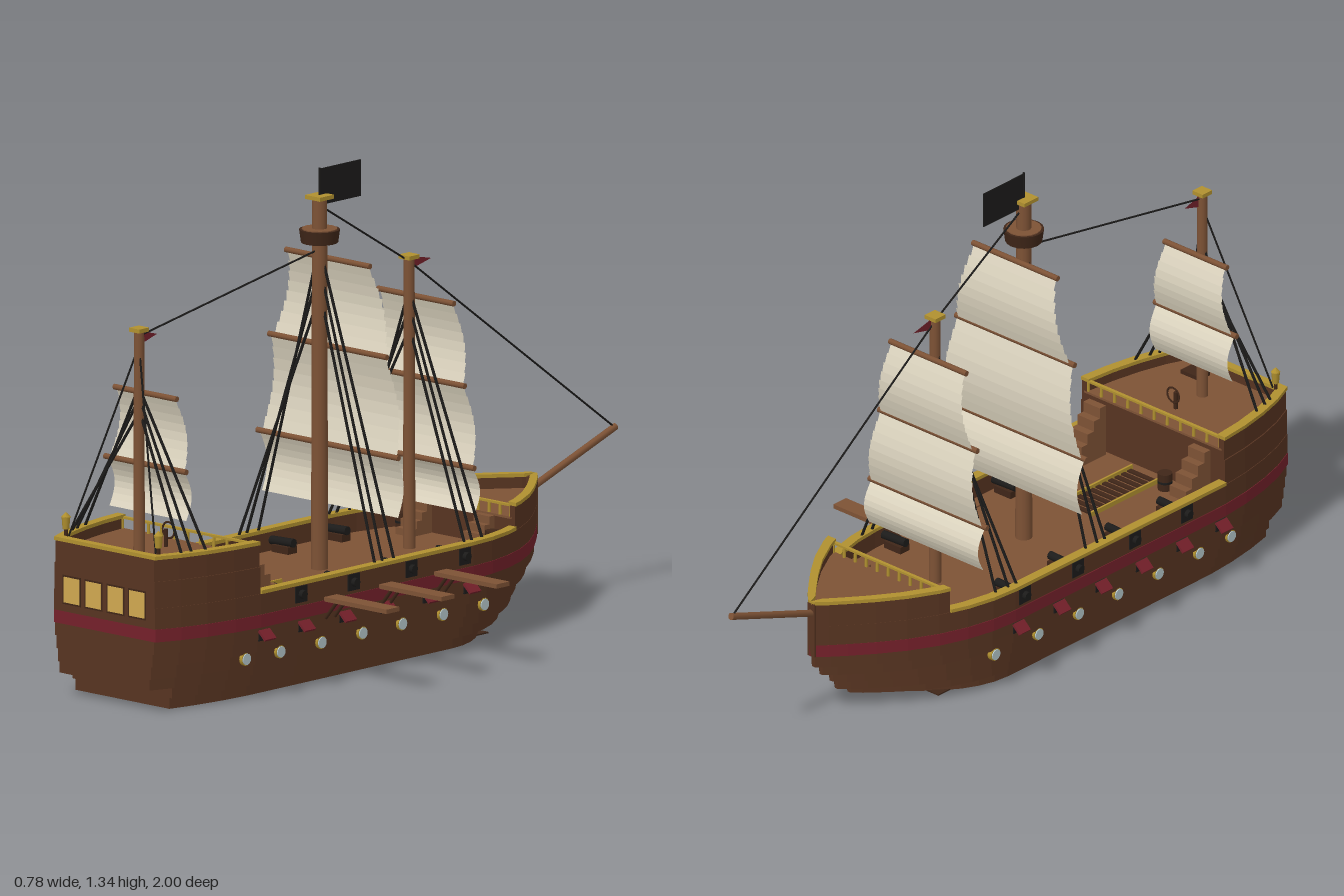
import * as THREE from 'three';
import { mergeGeometries } from 'three/addons/utils/BufferGeometryUtils.js';

const mat = (name, color, side = THREE.FrontSide) => {
  const m = new THREE.MeshStandardMaterial({ color, side });
  m.name = name;
  return m;
};

export function createModel() {
  const M = {
    hull: mat('hullBrown', 0x573421),
    dark: mat('darkWood', 0x3f2618),
    wood: mat('deckWood', 0x7d5235),
    gold: mat('goldTrim', 0xb0902f),
    red: mat('redPaint', 0x74202a, THREE.DoubleSide),
    black: mat('blackIron', 0x1c1b1a, THREE.DoubleSide),
    sail: mat('sailCloth', 0xddd5c0, THREE.DoubleSide),
    window: mat('lampWindow', 0xd0a850),
    glass: mat('paleGlass', 0xb4c6ca),
    slate: mat('slateGlass', 0x4d6470),
  };
  const root = new THREE.Group();
  root.name = 'sailingShip';
  const ship = new THREE.Group();
  ship.name = 'ship';
  ship.position.x = -0.105;
  root.add(ship);

  const add = (name, geo, m, x = 0, y = 0, z = 0) => {
    const mesh = new THREE.Mesh(geo, m);
    mesh.name = name;
    mesh.position.set(x, y, z);
    ship.add(mesh);
    return mesh;
  };
  const box = (name, m, w, h, d, x, y, z) => add(name, new THREE.BoxGeometry(w, h, d), m, x, y, z);
  const cyl = (name, m, r0, r1, h, x, y, z, n = 12) => add(name, new THREE.CylinderGeometry(r0, r1, h, n), m, x, y, z);
  // round bar between two points
  const bar = (name, m, a, b, r = 0.003, n = 5) => {
    const A = new THREE.Vector3(...a), B = new THREE.Vector3(...b);
    const mesh = cyl(name, m, r, r, A.distanceTo(B), 0, 0, 0, n);
    mesh.position.copy(A).lerp(B, 0.5);
    mesh.quaternion.setFromUnitVectors(new THREE.Vector3(0, 1, 0), B.sub(A).normalize());
  };

  // hull plan: [z, half width]
  const plan = [[1, 0.185], [0.93, 0.215], [0.85, 0.238], [0.76, 0.255], [0.67, 0.264], [0.5, 0.265], [-0.16, 0.265], [-0.24, 0.258],
    [-0.32, 0.24], [-0.4, 0.21], [-0.48, 0.167], [-0.55, 0.118], [-0.61, 0.07], [-0.65, 0.036], [-0.68, 0.006]];
  const halfW = (z) => {
    for (let i = 1; i < plan.length; i++) {
      const [za, wa] = plan[i - 1], [zb, wb] = plan[i];
      if (z >= zb) return wa + (wb - wa) * (za - z) / (za - zb);
    }
    return 0.006;
  };
  const stations = (zA, zB) => [zA, ...plan.map((p) => p[0]).filter((z) => z < zA && z > zB), zB];
  const extrude = (name, pts, y0, y1, m) => {
    const shape = new THREE.Shape(pts.map(([x, z]) => new THREE.Vector2(x, -z)));
    const g = new THREE.ExtrudeGeometry(shape, { depth: y1 - y0, bevelEnabled: false });
    return add(name, g.rotateX(-Math.PI / 2), m, 0, y0, 0);
  };
  // solid slab between two stations, with the bow drawn back to tip
  const slab = (name, m, y0, y1, zA = 1, zB = -0.68, scale = 1, tip = -0.68, inset = 0) => {
    const k = (tip + 0.1) / -0.58;
    const side = stations(zA, zB).map((z) =>
      [Math.max(0.003, halfW(z) * scale - inset), z < -0.1 ? -0.1 + (z + 0.1) * k : z]);
    extrude(name, [...side, ...side.slice().reverse().map(([x, z]) => [-x, z])], y0, y1, m);
  };
  // mirrored wall following the hull side
  const wall = (name, m, y0, y1, zA, zB, scale = 1, t = 0.018, out = 0) => {
    for (const s of [1, -1]) {
      const zs = stations(zA, zB);
      const outer = zs.map((z) => [s * (halfW(z) * scale + out), z]);
      const inner = zs.map((z) => [s * Math.max(0.0005, halfW(z) * scale - t), z]).reverse();
      extrude(name, [...outer, ...inner], y0, y1, m);
    }
  };

  // stepped lower planking: y0, y1, width scale, bow tip, stern end
  [[0, 0.03, 0.8, -0.43, 0.93], [0.03, 0.06, 0.85, -0.53, 0.93], [0.06, 0.09, 0.89, -0.58, 1], [0.09, 0.125, 0.925, -0.6, 1],
    [0.125, 0.16, 0.955, -0.64, 1], [0.16, 0.195, 0.98, -0.67, 1]]
    .forEach(([y0, y1, s, tip, zA]) => slab('hullPlank', M.hull, y0, y1, zA, -0.68, s, tip));
  slab('redStripe', M.red, 0.195, 0.23, 1, -0.68, 1.008);
  slab('mainDeck', M.wood, 0.23, 0.234, 0.98, -0.66, 1, -0.66, 0.015);
  slab('poopBlock', M.hull, 0.23, 0.385, 0.985, 0.67, 1, -0.68, 0.012);
  slab('poopDeck', M.wood, 0.385, 0.391, 0.985, 0.67, 1, -0.68, 0.014);
  slab('foreBlock', M.hull, 0.23, 0.315, -0.37, -0.67, 1, -0.68, 0.012);
  slab('foreDeck', M.wood, 0.315, 0.321, -0.37, -0.67, 1, -0.68, 0.014);

  // bulwarks and gold cap rails
  wall('bulwark', M.hull, 0.23, 0.287, 1, -0.68);
  wall('waistRail', M.gold, 0.287, 0.297, 0.67, -0.37, 1, 0.024, 0.004);
  wall('sternBulwark', M.hull, 0.287, 0.36, 1, 0.67, 0.992);
  wall('sternBulwarkTop', M.hull, 0.36, 0.42, 1, 0.67, 0.978);
  wall('sternRail', M.gold, 0.42, 0.43, 1, 0.67, 0.978, 0.024, 0.004);
  wall('bowBulwark', M.hull, 0.287, 0.352, -0.37, -0.68, 0.992);
  wall('bowRail', M.gold, 0.352, 0.362, -0.37, -0.68, 0.992, 0.024, 0.004);
  box('stem', M.hull, 0.025, 0.16, 0.02, 0, 0.275, -0.67);
  box('transom', M.hull, 0.362, 0.19, 0.018, 0, 0.325, 0.991);
  box('transomRail', M.gold, 0.37, 0.01, 0.024, 0, 0.425, 0.988);
  for (const x of [-0.12, -0.04, 0.04, 0.12]) {
    box('sternWindowFrame', M.dark, 0.066, 0.08, 0.004, x, 0.29, 0.9985);
    box('sternWindow', M.window, 0.056, 0.07, 0.003, x, 0.29, 1.0005);
  }

  // glazed panels in the bottom
  box('bottomFrame', M.dark, 0.3, 0.004, 0.62, 0, 0.0005, -0.03);
  for (const x of [-0.071, 0.071])
    for (let i = 0; i < 3; i++) box('bottomPanel', M.slate, 0.132, 0.003, 0.193, x, -0.001, -0.233 + i * 0.203);

  // gun ports, cannon, lids and portholes on both sides
  for (const s of [1, -1]) {
    for (const z of [0.515, 0.31, 0.085, -0.125]) {
      box('gunPort', M.black, 0.004, 0.045, 0.044, s * (halfW(z) + 0.001), 0.262, z);
      bar('cannon', M.black, [s * 0.165, 0.266, z], [s * 0.28, 0.262, z], 0.012, 10);
      box('cannonCarriage', M.dark, 0.06, 0.02, 0.035, s * 0.2, 0.246, z);
    }
    for (const z of [0.655, 0.5, 0.34, 0.18, 0.015, -0.145]) {
      box('lowerPort', M.black, 0.004, 0.03, 0.038, s * (halfW(z) * 0.98 + 0.001), 0.172, z);
      box('portLid', M.red, 0.034, 0.007, 0.042, s * 0.273, 0.174, z).rotation.z = s * -0.75;
    }
    for (const z of [0.71, 0.58, 0.42, 0.26, 0.105, -0.055, -0.22]) {
      const x = halfW(z) * 0.925;
      bar('portholeRing', M.gold, [s * (x - 0.01), 0.112, z], [s * (x + 0.008), 0.112, z], 0.018, 14);
      bar('portholeGlass', M.glass, [s * x, 0.112, z], [s * (x + 0.011), 0.112, z], 0.0155, 14);
    }
    // deck stairs
    for (let i = 0; i < 5; i++) {
      const h = 0.03 * (i + 1);
      box('poopStair', M.wood, 0.06, h, 0.024, s * 0.19, 0.232 + h / 2, 0.55 + i * 0.024);
    }
    for (let i = 0; i < 4; i++) {
      const h = 0.021 * (i + 1);
      box('foreStair', M.wood, 0.06, h, 0.02, s * 0.115, 0.232 + h / 2, -0.3 - i * 0.02);
    }
    // stern lanterns
    cyl('lanternPost', M.dark, 0.005, 0.005, 0.03, s * 0.17, 0.44, 0.97, 8);
    cyl('lantern', M.gold, 0.012, 0.009, 0.035, s * 0.17, 0.465, 0.97, 8);
    cyl('lanternCap', M.gold, 0.002, 0.013, 0.012, s * 0.17, 0.487, 0.97, 8);
  }

  // boarding planks with brackets, on one side
  for (const z of [-0.03, 0.185, 0.4]) {
    box('boardingPlank', M.wood, 0.29, 0.012, 0.05, 0.35, 0.233, z);
    for (const dz of [-0.018, 0.018]) bar('plankBracket', M.dark, [0.265, 0.18, z + dz], [0.305, 0.228, z + dz], 0.005);
  }

  // deck fittings
  for (let i = 0; i < 11; i++) box('hatchStep', M.dark, 0.1, 0.005, 0.015, 0, 0.236, 0.38 + i * 0.025);
  for (const s of [1, -1]) box('hatchCurb', M.gold, 0.006, 0.015, 0.28, s * 0.053, 0.24, 0.505);
  for (const [y, z, w] of [[0.391, 0.675, 0.24], [0.321, -0.375, 0.2]]) {
    for (let i = -5; i <= 5; i++) cyl('baluster', M.gold, 0.004, 0.005, 0.03, i * w / 5, y + 0.015, z, 6);
    box('balusterRail', M.gold, w * 2, 0.006, 0.01, 0, y + 0.031, z);
  }
  for (const [x, z] of [[-0.165, -0.34], [0.165, -0.34], [-0.09, 0.62]]) {
    cyl('barrel', M.dark, 0.02, 0.02, 0.05, x, 0.258, z);
    cyl('barrelHoop', M.black, 0.0212, 0.0212, 0.006, x, 0.258, z);
  }
  box('poopHatch', M.dark, 0.065, 0.012, 0.045, 0.095, 0.396, 0.94);
  bar('helmPost', M.dark, [0, 0.39, 0.76], [0, 0.44, 0.76], 0.006);
  const wheel = add('helmWheel', new THREE.TorusGeometry(0.022, 0.003, 5, 16), M.dark, 0, 0.435, 0.75);
  wheel.scale.z = 0.8;

  // a sail made of straight-edged cloth strips, bellied toward the bow
  const sail = (yTop, yBot, wTop, wBot, z) => {
    const n = 8, belly = (t) => -0.024 * Math.sin(Math.PI * t) - 0.006 * t;
    const strips = [];
    for (let i = 0; i < n; i++) {
      const g = new THREE.PlaneGeometry(2 * (wTop + (wBot - wTop) * (i + 0.5) / n), 1);
      const p = g.attributes.position;
      for (let v = 0; v < 4; v++) {
        const t = (i + (p.getY(v) < 0 ? 1 : 0)) / n;
        p.setY(v, yTop + (yBot - yTop) * t);
        p.setZ(v, belly(t));
      }
      g.computeVertexNormals();
      strips.push(g);
    }
    add('sail', mergeGeometries(strips), M.sail, 0, 0, z);
  };
  // masts: yards as [y, half length], last entry is the loose foot of the sail
  const masts = [
    { z: -0.19, base: 0.23, top: 1.03, r: 0.016, rail: 0.295, shroud: 0.92, yards: [[0.92, 0.14], [0.7, 0.18], [0.48, 0.215], [0.35, 0.22]] },
    { z: 0.16, base: 0.23, top: 1.25, r: 0.022, rail: 0.295, shroud: 1.08, yards: [[1.08, 0.155], [0.84, 0.217], [0.57, 0.26], [0.4, 0.262]] },
    { z: 0.865, base: 0.385, top: 1.0, r: 0.015, rail: 0.425, shroud: 0.83, yards: [[0.825, 0.115], [0.63, 0.15], [0.49, 0.153]] },
  ];
  for (const { z, base, top, r, rail, shroud, yards } of masts) {
    cyl('mast', M.wood, r * 0.92, r * 1.05, top - base, 0, (top + base) / 2, z, 14);
    box('mastCap', M.gold, r * 2.5, 0.011, r * 2.5, 0, top + 0.003, z);
    const zs = z - r - 0.011;
    for (let i = 0; i < yards.length - 1; i++) {
      const [y, w] = yards[i], [yb, wb] = yards[i + 1];
      bar('yard', M.wood, [-w, y, zs], [w, y, zs], 0.008, 8);
      sail(y - 0.004, yb + 0.004, w - 0.008, wb - 0.012, zs - 0.002);
    }
    for (const s of [1, -1])
      for (const [k, dz] of [[1, -0.025], [0.93, 0.02], [0.85, 0.05]])
        bar('shroud', M.black, [s * r * 0.6, base + (shroud - base) * k, z], [s * (halfW(z + dz) - 0.016), rail, z + dz], 0.0042);
  }
  cyl('crowsNest', M.dark, 0.055, 0.05, 0.036, 0, 1.147, 0.16, 16);
  cyl('crowsNestFloor', M.wood, 0.048, 0.048, 0.003, 0, 1.166, 0.16, 16);
  bar('bowsprit', M.wood, [0, 0.315, -0.65], [0, 0.437, -0.996], 0.01, 8);

  // stays
  [[[0, 0.437, -0.99], [0, 1.02, -0.19]], [[0, 1.02, -0.19], [0, 1.23, 0.16]], [[0, 1.11, 0.16], [0, 0.985, 0.865]],
    [[0, 0.96, 0.865], [0.16, 0.43, 0.97]], [[0, 0.96, 0.865], [-0.16, 0.43, 0.97]]]
    .forEach(([a, b]) => bar('stay', M.black, a, b, 0.0028));

  // flag and pennants
  bar('flagPole', M.black, [0, 1.25, 0.16], [0, 1.333, 0.16], 0.003);
  box('flag', M.black, 0.003, 0.1, 0.16, 0, 1.28, 0.08);
  for (const [y, z, l] of [[1.015, -0.206, 0.07], [0.98, 0.85, 0.055]]) {
    const tri = new THREE.Shape([new THREE.Vector2(0, -0.016), new THREE.Vector2(l, 0), new THREE.Vector2(0, 0.016)]);
    add('pennant', new THREE.ShapeGeometry(tri).rotateY(Math.PI / 2), M.red, 0, y, z);
  }
  return root;
}
